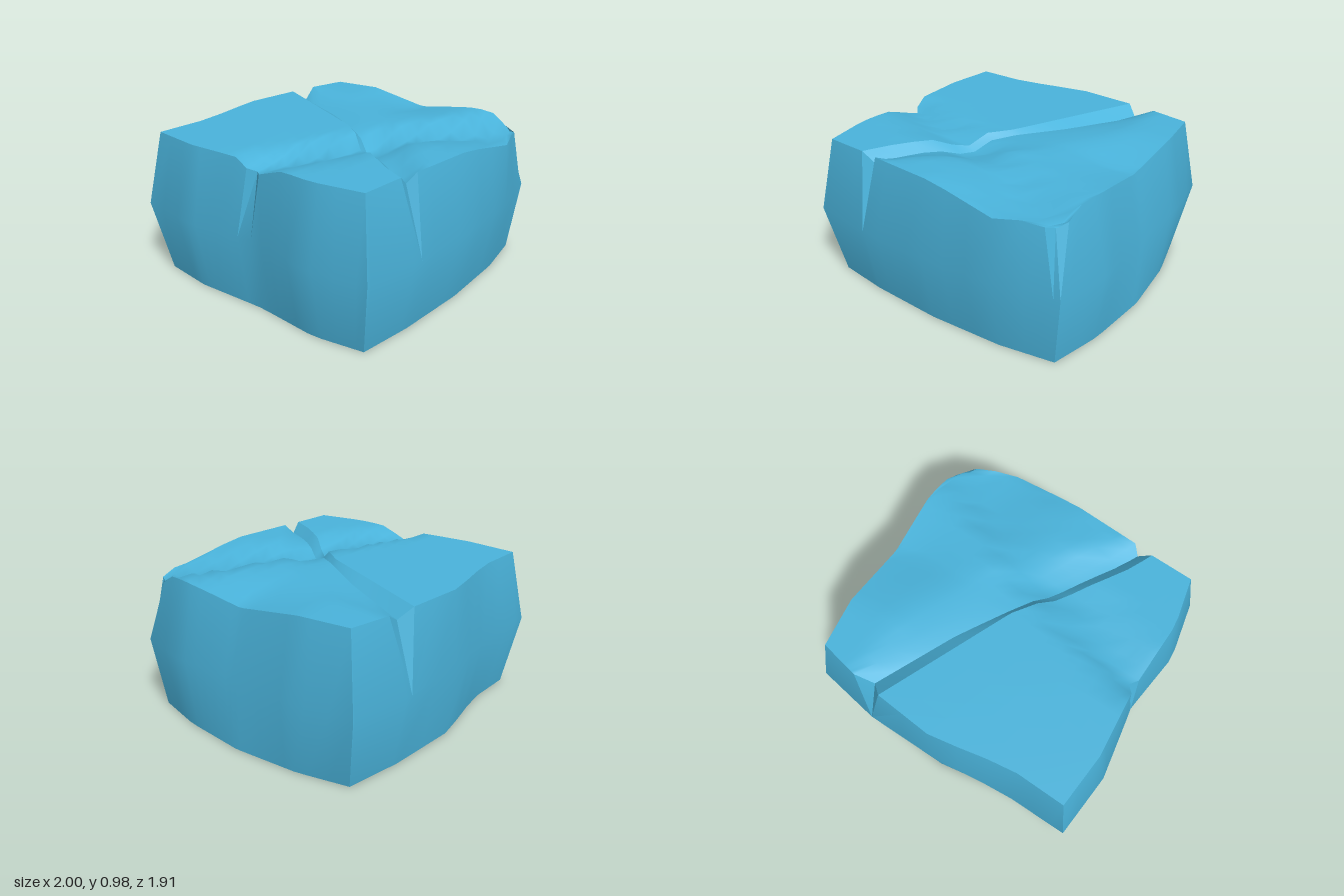
import * as THREE from 'three';
import { mergeVertices, toCreasedNormals } from 'three/addons/utils/BufferGeometryUtils.js';

const V = (x, y, z) => new THREE.Vector3(x, y, z);
const mix = THREE.MathUtils.lerp;
const smooth = THREE.MathUtils.smoothstep;
const tent = (t) => Math.max(0, 1 - Math.abs(t));

// Piecewise-linear lookup in rows of [key, value, value...]
function look(table, k, n = 1) {
  let i = 0;
  while (i < table.length - 2 && k > table[i + 1][0]) i++;
  const a = table[i], b = table[i + 1];
  const t = THREE.MathUtils.clamp((k - a[0]) / (b[0] - a[0]), 0, 1);
  return mix(a[n], b[n], t);
}

// Edges of the top face: x by depth fraction v (0 back, 1 front), z by x
const LEFT = [[0, -.87], [.215, -.91], [.488, -.885], [.518, -.845], [.549, -.885], [.8, -.91], [1, -.85]];
const RIGHT = [[0, .86], [.215, .9], [.51, .885], [.79, .9], [.967, .86], [1, .81]];
const BACK = [[-.87, -.85], [-.5, -.83], [0, -.915], [.4, -.87], [.48, -.81], [.6, -.84], [.86, -.78]];
const FRONT = [[-.85, .79], [-.56, .81], [-.48, .79], [-.43, .83], [0, .87], [.5, .9], [.78, .81], [.81, .75]];

// Long crack across the top: upper lip, floor, depth and width of the far slope
const LIP = [[0, .4], [.257, .2], [.515, 0], [.66, -.18], [.785, -.35], [.92, -.5], [1, -.56]];
const FLOOR = [[0, .48], [.32, .22], [.506, .03], [.69, -.16], [.79, -.28], [.925, -.42], [1, -.48]];
const DEPTH = [[0, .07], [.25, .05], [.51, .03], [.7, .05], [1, .065]];
const SLOPE = [[0, .12], [.2, .3], [.5, .4], [.8, .25], [1, .05]];

// Soft valley running from the left side to the front corner
const VALLEY = [[-.85, 0], [0, .32], [.83, .74]];

// Walls: key, then middle [x, z], then bottom [x, z]
const FRONT_WALL = [[-.85, -.93, .87, -.85, .79], [-.56, -.5, .93, -.5, .84], [-.43, -.5, .93, -.5, .84],
  [0, 0, .955, 0, .87], [.5, .5, .93, .5, .85], [.81, .91, .84, .855, .79]];
const BACK_WALL = [[-.87, -.95, -.93, -.87, -.85], [-.5, -.5, -.915, -.5, -.83], [0, 0, -.96, 0, -.915],
  [.4, .5, -.945, .5, -.86], [.6, .5, -.945, .5, -.86], [.86, .94, -.86, .86, -.78]];
const LEFT_WALL = [[-.85, -.95, -.93, -.87, -.85], [-.5, -1, -.5, -.91, -.5], [-.05, -.945, -.1, -.885, -.1],
  [0, -.93, 0, -.88, 0], [.05, -.945, .1, -.885, .1], [.46, -1, .46, -.91, .46], [.79, -.93, .87, -.85, .79]];
const RIGHT_WALL = [[-.78, .94, -.86, .86, -.78], [-.47, .99, -.47, .94, -.45], [0, .98, 0, .98, 0],
  [.47, 1, .47, .94, .45], [.75, .91, .84, .855, .79]];

const ROWS = [0, .08, .16, .215, .26, .31, .38, .44, .488, .518, .549, .6, .66, .71, .77, .83, .9, .967, 1];
const LEFT_COLS = [0, .06, .15, .25, .4, .55, .7, .85, 1];
const RIGHT_COLS = [0, .09, .17, .26, .35, .48, .61, .75, .87, .975, 1];

// Height of the top face
function height(x, z, v) {
  let y = .975;
  const floor = look(FLOOR, v);
  if (x >= floor - 1e-6) y -= look(DEPTH, v) * Math.max(0, 1 - (x - floor) / look(SLOPE, v));
  const d = z - look(VALLEY, x);
  y -= .075 * (1 - smooth(Math.abs(d), 0, d < 0 ? .14 : .27));
  y -= .08 * tent((x - .5) / .45) * smooth(v, .65, 1);
  y -= .07 * tent(z / .45) * smooth(x, .3, .88);
  return Math.max(y, .875);
}

// Column x along a row: outer part left of the crack or right of it
const leftX = (v, t) => mix(look(LEFT, v), look(LIP, v), t);
const rise = (v) => look(FLOOR, v) + mix(.12, .05, v);
const rightX = (v, t) => mix(rise(v), look(RIGHT, v), t);

function column(xOf) {
  const zb = look(BACK, xOf(0)), zf = look(FRONT, xOf(1));
  return ROWS.map((v) => {
    const x = xOf(v), z = mix(zb, zf, v);
    return V(x, height(x, z, v), z);
  });
}

// Sheet through a grid of points, skipping collapsed triangles
function sheet(rows) {
  const out = [];
  const tri = (a, b, c) => {
    const area = b.clone().sub(a).cross(c.clone().sub(a)).length();
    if (area > 1e-7) for (const p of [a, b, c]) out.push(p.x, p.y, p.z);
  };
  for (let i = 0; i < rows.length - 1; i++) {
    for (let j = 0; j < rows[i].length - 1; j++) {
      const a = rows[i][j], b = rows[i][j + 1], c = rows[i + 1][j], d = rows[i + 1][j + 1];
      tri(a, c, b);
      tri(b, c, d);
    }
  }
  const g = new THREE.BufferGeometry();
  g.setAttribute('position', new THREE.Float32BufferAttribute(out, 3));
  return g;
}

function smoothSheet(rows) {
  const g = mergeVertices(sheet(rows), 1e-5);
  g.computeVertexNormals();
  return g;
}

export function createModel() {
  const group = new THREE.Group();
  const ice = new THREE.MeshStandardMaterial({ color: 0x4ab4dc, side: THREE.DoubleSide });
  ice.name = 'iceBlue';
  const add = (name, geometry) => {
    const mesh = new THREE.Mesh(geometry, ice);
    mesh.name = name;
    group.add(mesh);
  };

  // Top face in two halves, with the steep side of the crack between them
  const left = LEFT_COLS.map((t) => column((v) => leftX(v, t)));
  const floor = column((v) => look(FLOOR, v));
  const right = RIGHT_COLS.map((t) => column((v) => rightX(v, t)));
  const turn = (cols) => ROWS.map((_, i) => cols.map((c) => c[i]));
  add('topLeft', smoothSheet(turn(left)));
  add('crackFace', smoothSheet(turn([left[left.length - 1], floor])));
  add('topRight', smoothSheet(turn([floor, ...right])));

  // Bulging walls hung from the edges of the top; the underside is open
  const cols = [...left, floor, ...right];
  const last = ROWS.length - 1;
  const wall = (name, edge, table, axis, reverse) => {
    const rows = [
      edge,
      edge.map((p) => V(look(table, p[axis], 1), .485, look(table, p[axis], 2))),
      edge.map((p) => V(look(table, p[axis], 3), 0, look(table, p[axis], 4))),
    ];
    if (reverse) rows.forEach((r, i) => { rows[i] = [...r].reverse(); });
    add(name, toCreasedNormals(sheet(rows), .5));
  };
  wall('frontWall', cols.map((c) => c[last]), FRONT_WALL, 'x', false);
  wall('backWall', cols.map((c) => c[0]), BACK_WALL, 'x', true);
  wall('leftWall', cols[0], LEFT_WALL, 'z', false);
  wall('rightWall', cols[cols.length - 1], RIGHT_WALL, 'z', true);
  return group;
}
